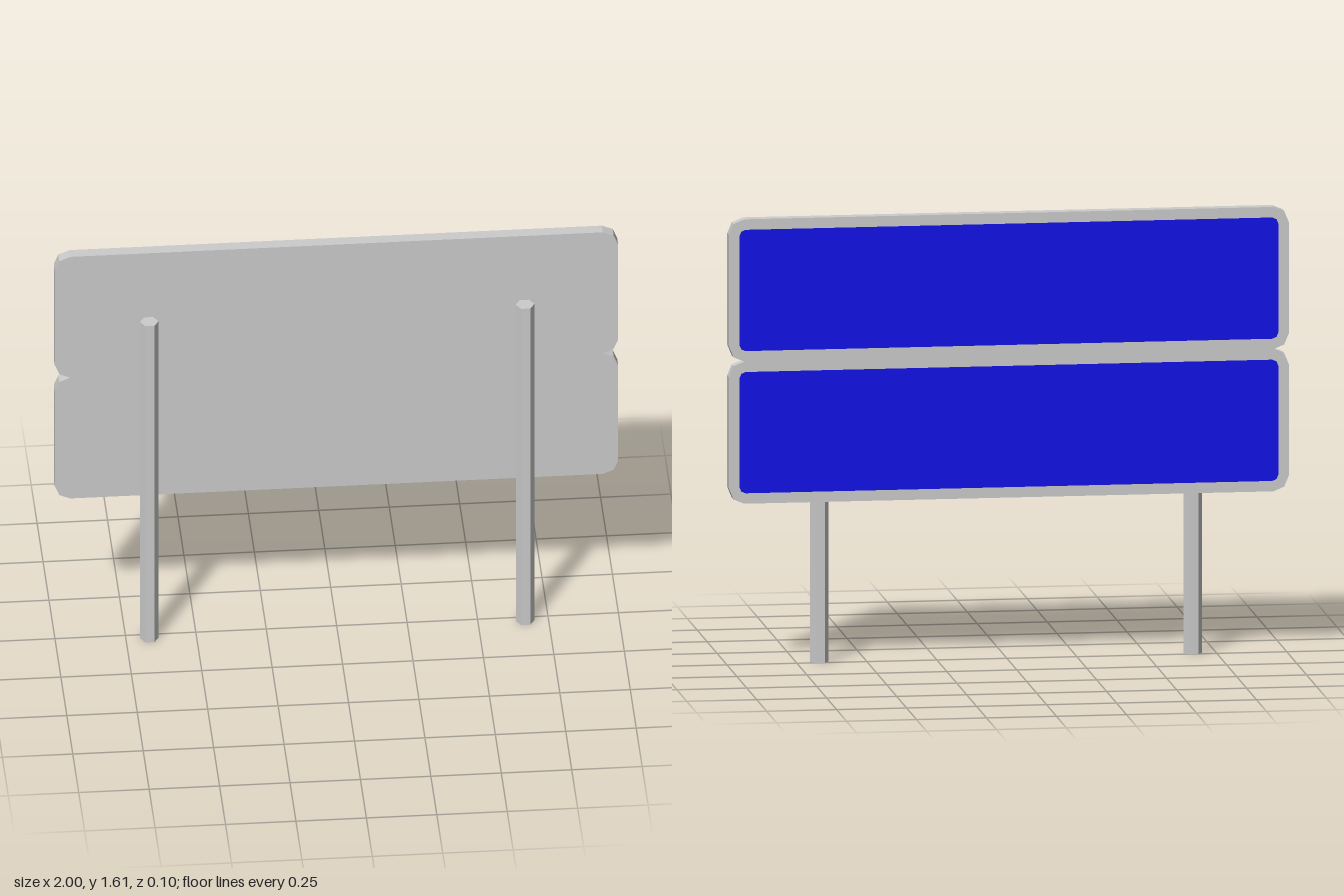
import * as THREE from 'three';

const grey = new THREE.MeshStandardMaterial({ color: 0xcccccc, flatShading: true });
const blue = new THREE.MeshStandardMaterial({ color: 0x0e0ee8, flatShading: true });

const HALF = 1, BOTTOM = 0.585, MIDDLE = 1.095, TOP = 1.605;
const BACK = -0.05, FRONT = -0.006;

// Corner arc in two straight facets, counterclockwise from angle a (in quarter turns)
function corner(cx, cy, r, a) {
  return [0, 0.5, 1].map((t) => {
    const angle = (a + t) * Math.PI / 2;
    return new THREE.Vector2(cx + r * Math.cos(angle), cy + r * Math.sin(angle));
  });
}

// Right or left end of one rounded panel
function side(sign, y0, y1, hw, r) {
  const x = sign * (hw - r);
  return sign > 0
    ? [...corner(x, y0 + r, r, 3), ...corner(x, y1 - r, r, 0)]
    : [...corner(x, y1 - r, r, 1), ...corner(x, y0 + r, r, 2)];
}

export function createModel() {
  const model = new THREE.Group();
  model.name = 'roadSign';
  const add = (name, geometry, material) => {
    const mesh = new THREE.Mesh(geometry, material);
    mesh.name = name;
    model.add(mesh);
    return mesh;
  };

  // Board: two rounded panels joined, leaving a notch at each end
  const r = 0.055;
  const outline = [
    ...side(1, BOTTOM, MIDDLE, HALF, r),
    ...side(1, MIDDLE, TOP, HALF, r).slice(1),
    ...side(-1, MIDDLE, TOP, HALF, r),
    ...side(-1, BOTTOM, MIDDLE, HALF, r).slice(1),
  ];
  const board = new THREE.ExtrudeGeometry(new THREE.Shape(outline), {
    depth: FRONT - BACK, bevelEnabled: false,
  });
  add('board', board, grey).position.z = BACK;

  // Coloured fields, facing the back
  const margin = 0.0375;
  [['lowerField', BOTTOM, MIDDLE], ['upperField', MIDDLE, TOP]].forEach(([name, y0, y1]) => {
    const hw = HALF - margin;
    const points = [1, -1].flatMap((s) => side(s, y0 + margin, y1 - margin, hw, 0.022));
    const field = new THREE.ShapeGeometry(new THREE.Shape(points));
    field.rotateY(Math.PI);
    add(name, field, blue).position.z = BACK - 0.001;
  });

  // Hexagonal posts with a flat side against the board
  const postHeight = 1.335;
  [['leftPost', 1], ['rightPost', -1]].forEach(([name, s]) => {
    const post = new THREE.CylinderGeometry(0.033, 0.033, postHeight, 6, 1, false, Math.PI / 6);
    add(name, post, grey).position.set(s * 0.667, postHeight / 2, 0.0225);
  });

  return model;
}
